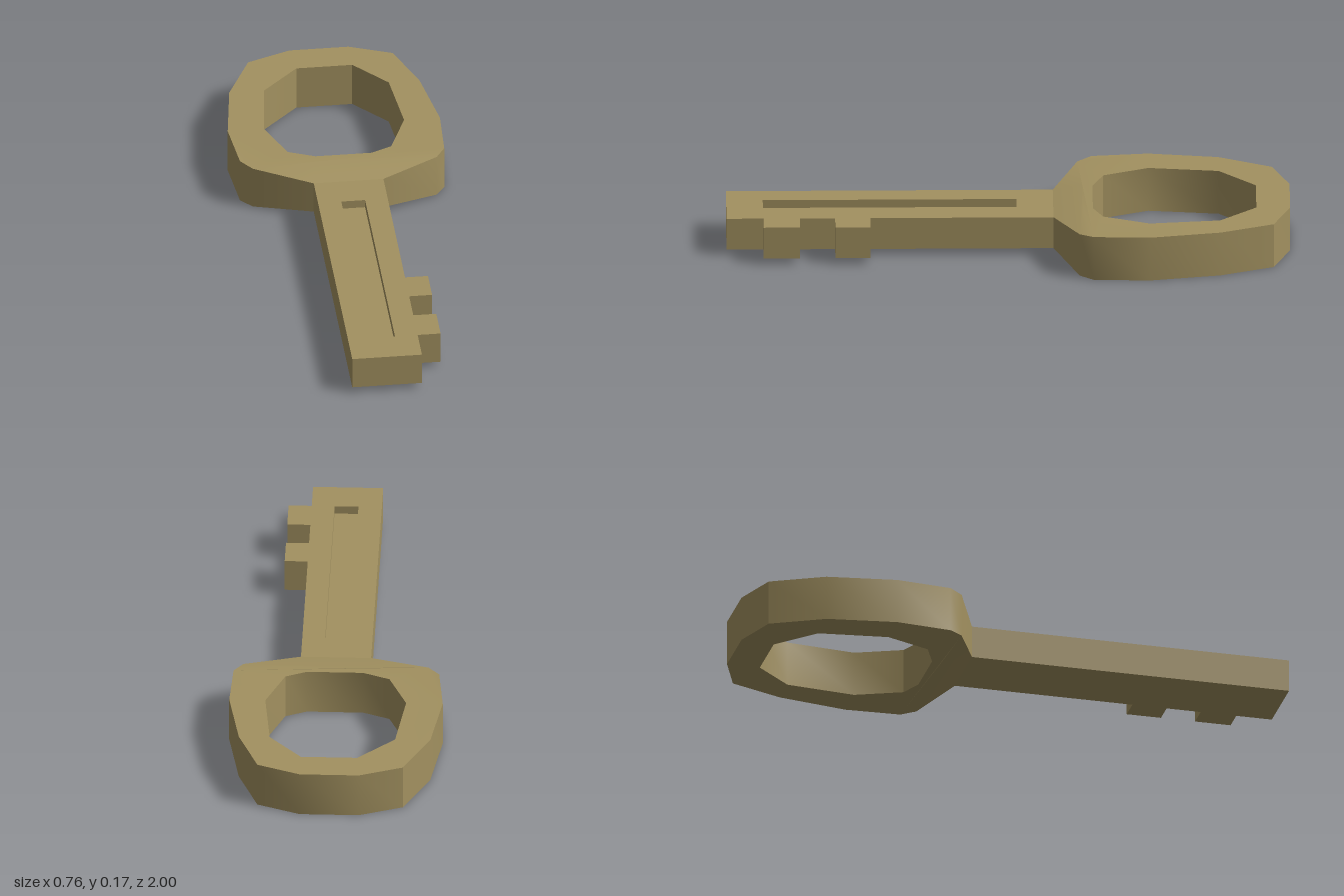
import * as THREE from 'three';
import { mergeGeometries, toCreasedNormals } from 'three/addons/utils/BufferGeometryUtils.js';

// Extrude an outline of [x, z] points upwards from y0 to y1; the hole runs the opposite way round
function slab(outline, y0, y1, hole) {
  const toV = ([x, z]) => new THREE.Vector2(x, -z);
  const shape = new THREE.Shape(outline.map(toV));
  if (hole) shape.holes.push(new THREE.Path(hole.map(toV).reverse()));
  const geo = new THREE.ExtrudeGeometry(shape, { depth: y1 - y0, bevelEnabled: false });
  geo.rotateX(-Math.PI / 2);
  geo.translate(0, y0, 0);
  return geo;
}

// Remove the upright walls where two pieces meet
function dropJoints(geo) {
  const p = geo.attributes.position, n = geo.attributes.normal;
  const kept = [];
  for (let i = 0; i < p.count; i += 3) {
    const zs = [p.getZ(i), p.getZ(i + 1), p.getZ(i + 2)];
    const joint = zs.every(z => Math.abs(z + 0.25) < 0.02) || zs.every(z => Math.abs(z + 0.16) < 0.01);
    if (joint && Math.abs(n.getY(i)) < 0.5) continue;
    for (let k = i; k < i + 3; k++) kept.push(p.getX(k), p.getY(k), p.getZ(k));
  }
  const out = new THREE.BufferGeometry();
  out.setAttribute('position', new THREE.Float32BufferAttribute(kept, 3));
  return out;
}

export function createModel() {
  const group = new THREE.Group();
  const brass = new THREE.MeshStandardMaterial({ color: 0xa29160 });
  brass.name = 'brass';

  const add = (name, geo) => {
    const mesh = new THREE.Mesh(geo, brass);
    mesh.name = name;
    group.add(mesh);
  };

  const H = 0.165, LOW = 0.023, TOP = 0.142, FLOOR = 0.112;

  // Bow: faceted ring plus a collar narrowing to the shaft
  const shoulder = [[0.337, -0.25], [0.11, -0.265], [-0.1, -0.265], [-0.32, -0.25]];
  const ring = [
    [-0.1, -1], [0.11, -1], [0.262, -0.94], [0.335, -0.75], [0.378, -0.5], [0.37, -0.3],
    ...shoulder,
    [-0.36, -0.3], [-0.38, -0.5], [-0.345, -0.75], [-0.255, -0.94],
  ];
  const eye = [
    [-0.09, -0.88], [0.11, -0.88], [0.225, -0.75], [0.25, -0.5], [0.185, -0.335],
    [0.11, -0.3], [-0.09, -0.3], [-0.185, -0.34], [-0.25, -0.5], [-0.22, -0.75],
  ];
  const collar = [...shoulder, [-0.113, -0.16], [0.136, -0.16]];
  const bow = mergeGeometries([dropJoints(slab(ring, 0, H, eye)), dropJoints(slab(collar, 0, H))]);

  // Thin the bow towards the shaft, above and below
  const p = bow.attributes.position;
  for (let i = 0; i < p.count; i++) {
    const z = p.getZ(i), upper = p.getY(i) > H / 2;
    if (z > -0.2) p.setY(i, upper ? TOP : LOW);
    else if (z > -0.27 && Math.abs(p.getX(i)) > 0.3) p.setY(i, upper ? H - 0.003 : 0.003);
  }
  add('bow', toCreasedNormals(bow, 0.7));

  // Shaft with two square teeth: solid base, then a layer with the groove cut out
  const teeth = [[0.49, 0.615], [0.74, 0.87]].flatMap(([a, b]) =>
    [[0.136, a], [0.218, a], [0.218, b], [0.136, b]]);
  const shaft = [[-0.113, -0.16], [0.136, -0.16], ...teeth, [0.136, 1], [-0.113, 1]];
  const groove = [[-0.03, -0.03], [0.055, -0.03], [0.055, 0.87], [-0.03, 0.87]];
  add('shaftBase', slab(shaft, LOW, FLOOR));
  add('groovedShaftTop', slab(shaft, FLOOR, TOP, groove));

  return group;
}
